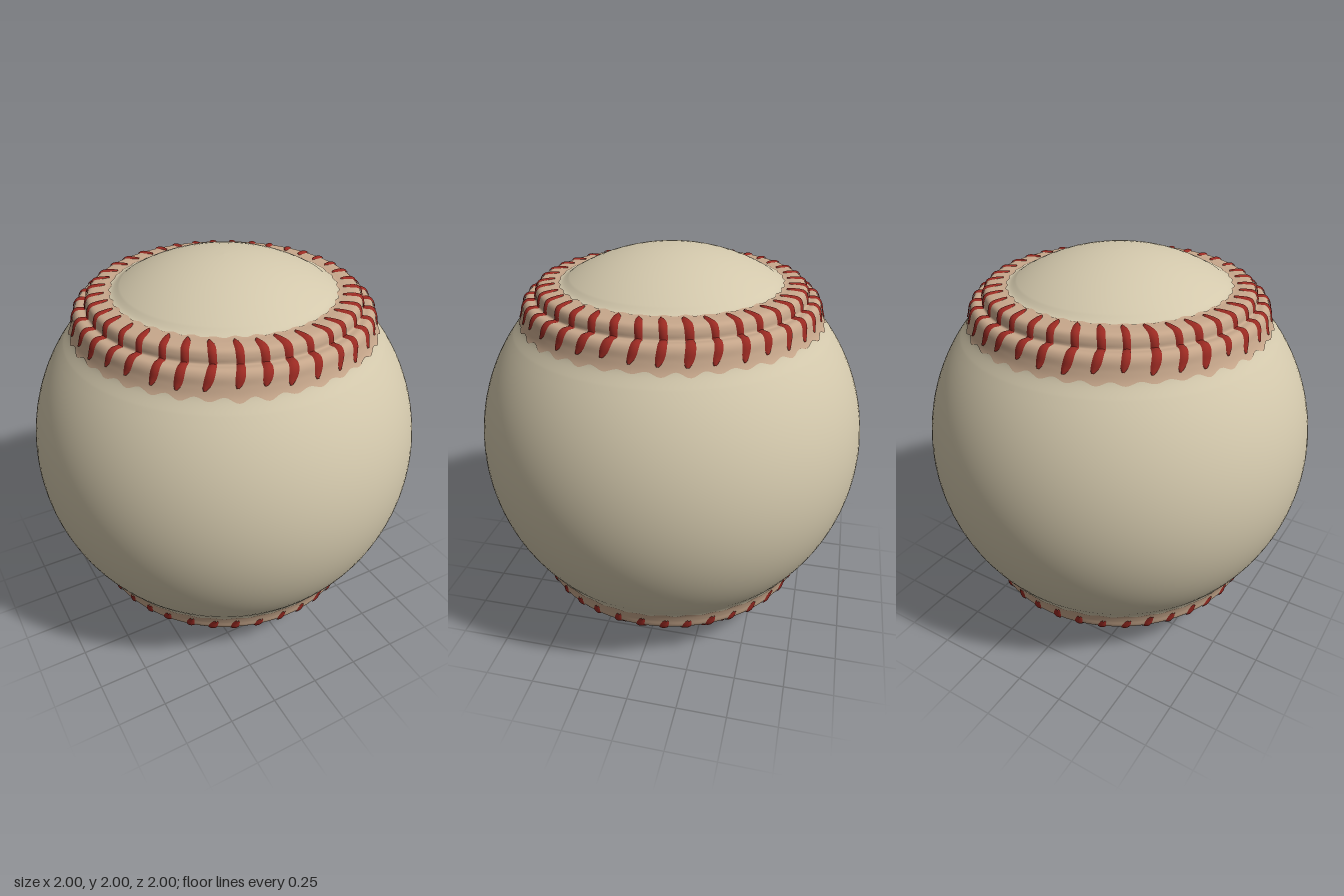
import * as THREE from 'three';
import { mergeGeometries } from 'three/addons/utils/BufferGeometryUtils.js';

const STITCHES = 38;
const STEP = (Math.PI * 2) / STITCHES;

// Seam cross-section (radius, height above the ball's centre): two raised lips with a groove between
const seam = new THREE.SplineCurve([
  [0.5, 0.866], [0.545, 0.838], [0.6, 0.836], [0.648, 0.829], [0.663, 0.802], [0.669, 0.772],
  [0.708, 0.77], [0.728, 0.748], [0.738, 0.706], [0.757, 0.657], [0.8, 0.6],
].map(([r, y]) => new THREE.Vector2(r, y)));
seam.arcLengthDivisions = 400;

// Point on the seam at angle a, fraction s across it, lifted off the surface
function onSeam(a, s, lift) {
  const p = seam.getPointAt(s), t = seam.getTangentAt(s);
  const r = p.x - t.y * lift, y = p.y + t.x * lift;
  return [r * Math.cos(a), y, r * Math.sin(a)];
}

// Grid of points from a rule f(u, v)
function patch(f, nu, nv) {
  const pos = [], idx = [];
  for (let i = 0; i <= nu; i++) {
    for (let j = 0; j <= nv; j++) {
      pos.push(...f(i / nu, j / nv));
      if (i < nu && j < nv) {
        const a = i * (nv + 1) + j, b = a + nv + 1;
        idx.push(a, b, a + 1, b, b + 1, a + 1);
      }
    }
  }
  const g = new THREE.BufferGeometry();
  g.setAttribute('position', new THREE.Float32BufferAttribute(pos, 3));
  g.setIndex(idx);
  g.computeVertexNormals();
  return g;
}

function seeded(seed) {
  return () => (seed = (seed * 16807) % 2147483647) / 2147483647;
}

// Ball profile: round waist, with a seam near each pole
function ballGeometry() {
  const upper = [];
  const waistEnd = Math.asin(0.6), capStart = Math.asin(0.866);
  for (let i = 0; i < 14; i++) {
    const a = (waistEnd * i) / 14;
    upper.push(new THREE.Vector2(Math.cos(a), Math.sin(a)));
  }
  for (let i = 40; i >= 0; i--) upper.push(seam.getPointAt(i / 40));
  for (let i = 1; i <= 10; i++) {
    const a = capStart + ((Math.PI / 2 - capStart) * i) / 10;
    upper.push(new THREE.Vector2(Math.max(Math.cos(a), 0), Math.sin(a)));
  }
  const lower = upper.slice(1).reverse().map((p) => new THREE.Vector2(p.x, -p.y));
  return new THREE.LatheGeometry([...lower, ...upper], STITCHES * 3);
}

// Tinted leather around the stitches, with a scalloped edge
function bandGeometry(rand) {
  const wobble = Array.from({ length: STITCHES }, () => rand() * 0.03);
  return patch((u, v) => {
    const a = u * Math.PI * 2;
    const k = Math.round(u * STITCHES) % STITCHES;
    const lobe = 0.5 + 0.5 * Math.cos(a * STITCHES);
    const s0 = 0.135 - lobe * (0.015 + wobble[k] * 0.6);
    const s1 = 0.82 + lobe * (0.03 + wobble[k]);
    return onSeam(a, s0 + (s1 - s0) * v, 0.003);
  }, STITCHES * 8, 40);
}

// Slightly bent, tapering threads laid across both lips
function stitchGeometry(rand) {
  const parts = [];
  for (let k = 0; k < STITCHES; k++) {
    const centre = k * STEP + (rand() - 0.5) * 0.02;
    const s0 = 0.18 + (rand() - 0.5) * 0.03, s1 = 0.76 + (rand() - 0.5) * 0.06;
    const bend = 0.02 + rand() * 0.02, half = 0.029 + rand() * 0.007;
    parts.push(patch((u, v) => {
      const across = u * 2 - 1, along = v * 2 - 1;
      const width = half * (1 - 0.75 * along ** 6) * (0.82 + 0.18 * Math.abs(along));
      const a = centre + bend * (along * along - 0.4) + across * width;
      return onSeam(a, s0 + (s1 - s0) * v, 0.005 + 0.006 * (1 - across * across));
    }, 6, 32));
  }
  return mergeGeometries(parts);
}

export function createModel() {
  const material = (name, color) => {
    const m = new THREE.MeshStandardMaterial({ color });
    m.name = name;
    return m;
  };
  const leather = material('cream leather', 0xd3c8ac);
  const tint = material('tinted leather', 0xc8a88c);
  const thread = material('red thread', 0x9a2a22);

  const add = (parent, name, geometry, mat) => {
    const mesh = new THREE.Mesh(geometry, mat);
    mesh.name = name;
    parent.add(mesh);
  };

  const model = new THREE.Group();
  model.name = 'ball';
  const ball = new THREE.Group();
  ball.name = 'stitchedBall';
  ball.position.y = 1;
  model.add(ball);
  add(ball, 'leatherCover', ballGeometry(), leather);

  // Matching seams at the top and bottom
  ['upperSeam', 'lowerSeam'].forEach((name, i) => {
    const rand = seeded(71 + i * 400);
    const group = new THREE.Group();
    group.name = name;
    group.rotation.x = i * Math.PI;
    add(group, 'seamBand', bandGeometry(rand), tint);
    add(group, 'stitches', stitchGeometry(rand), thread);
    ball.add(group);
  });
  return model;
}
